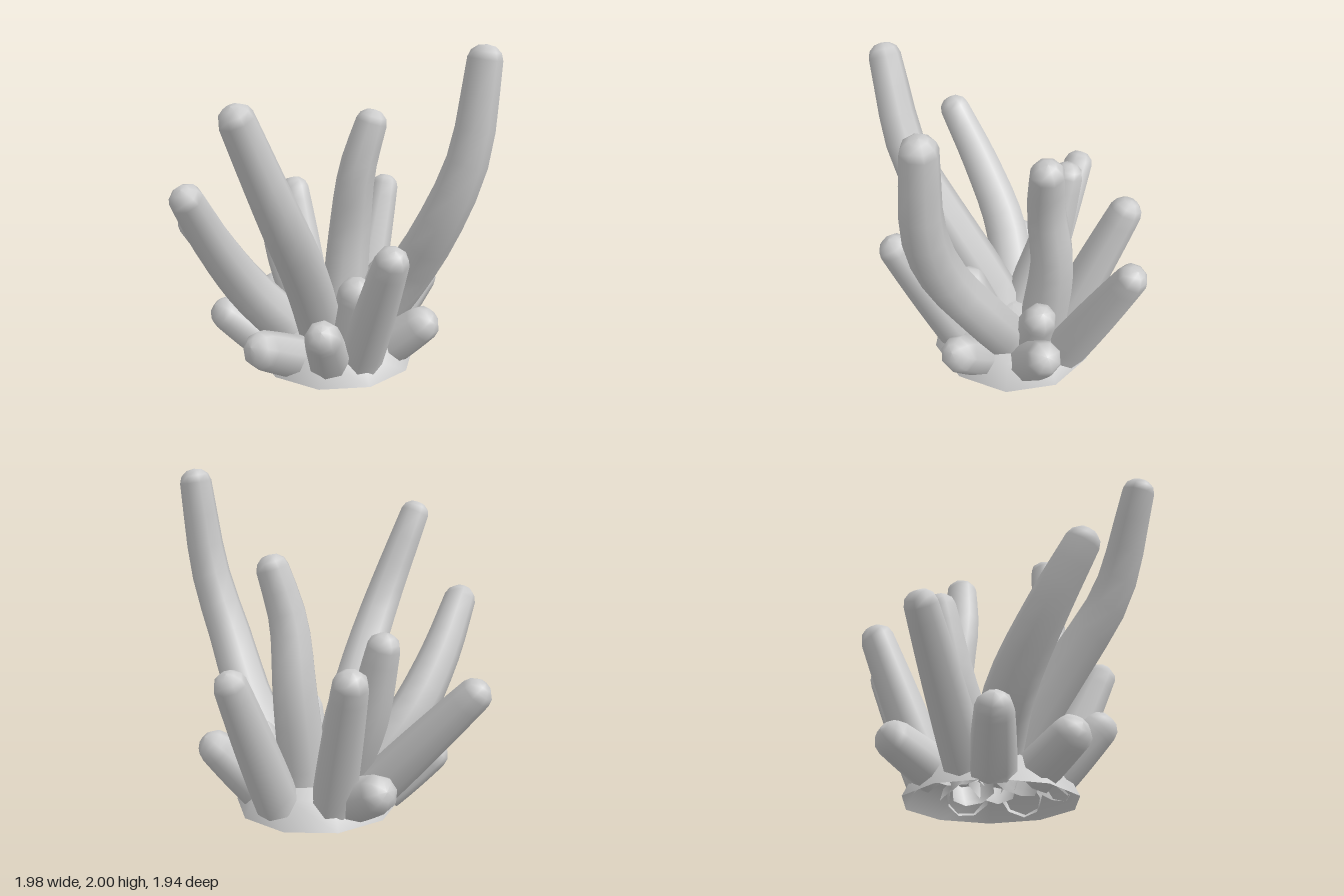
import * as THREE from 'three';

const SIDES = 8;
const STEPS = 10;
const CENTRE = new THREE.Vector3(0.05, 0, -0.1);
const v = (x, y, z) => new THREE.Vector3(x, y, z);

// Tapered tentacle along a smooth path, open at the root, blunt rounded at the tip
function tentacleGeometry(points, rootRadius, tipRadius) {
  const curve = new THREE.CatmullRomCurve3(points);
  const frames = curve.computeFrenetFrames(STEPS, false);
  const pos = [], index = [];

  const addRing = (centre, radius, k) => {
    for (let j = 0; j < SIDES; j++) {
      const a = (j / SIDES) * Math.PI * 2;
      const p = centre.clone()
        .addScaledVector(frames.normals[k], Math.cos(a) * radius)
        .addScaledVector(frames.binormals[k], Math.sin(a) * radius);
      pos.push(p.x, p.y, p.z);
    }
  };

  // most of the taper happens towards the tip
  for (let i = 0; i <= STEPS; i++) {
    const t = i / STEPS;
    addRing(curve.getPointAt(t), THREE.MathUtils.lerp(rootRadius, tipRadius, t ** 1.6), i);
  }
  // cap rings: distance past the end and ring radius, both in tip radii
  for (const [d, s] of [[0.42, 0.85], [0.72, 0.48], [0.8, 0]]) {
    const centre = curve.getPointAt(1).addScaledVector(frames.tangents[STEPS], d * tipRadius);
    addRing(centre, s * tipRadius, STEPS);
  }
  // skin between neighbouring rings
  for (let lo = 0; lo < (STEPS + 3) * SIDES; lo += SIDES) {
    const hi = lo + SIDES;
    for (let j = 0; j < SIDES; j++) {
      const n = (j + 1) % SIDES;
      index.push(lo + j, lo + n, hi + n, lo + j, hi + n, hi + j);
    }
  }
  const geo = new THREE.BufferGeometry();
  geo.setAttribute('position', new THREE.Float32BufferAttribute(pos, 3));
  geo.setIndex(index);
  geo.computeVertexNormals();
  return geo;
}

export function createModel() {
  const group = new THREE.Group();
  const material = new THREE.MeshStandardMaterial({ color: 0xcccccc, side: THREE.DoubleSide });

  const add = (name, geometry) => {
    const mesh = new THREE.Mesh(geometry, material);
    mesh.name = name;
    group.add(mesh);
    return mesh;
  };

  // Long tentacle bending through the given points
  const bent = (name, ...path) => add(name, tentacleGeometry(path, 0.148, 0.098));

  // Straight tentacle leaning outwards from the dome centre to its tip
  const straight = (name, tip, tipRadius, rootDistance = 0.35, rootHeight = 0.14) => {
    const root = tip.clone().sub(CENTRE).setY(0).setLength(rootDistance).add(CENTRE).setY(rootHeight);
    add(name, tentacleGeometry([root, tip], 0.13, tipRadius));
  };

  // Low dome the tentacles grow from, open underneath
  const profile = [[0.51, 0.03], [0.43, 0.19], [0.28, 0.27], [0, 0.3]].map(p => new THREE.Vector2(...p));
  const base = add('base', new THREE.LatheGeometry(profile, 10));
  base.position.copy(CENTRE);
  base.scale.x = 0.96;

  // Long bent tentacles
  bent('tallLeftTentacle', v(0.22, 0.18, -0.15), v(0.48, 0.58, -0.09), v(0.68, 0.97, 0.03),
    v(0.83, 1.38, 0.06), v(0.89, 1.92, 0.02));
  bent('tallFrontTentacle', v(-0.02, 0.2, 0), v(-0.03, 0.5, 0.2), v(-0.05, 0.8, 0.42),
    v(-0.1, 1.15, 0.67), v(-0.25, 1.7, 0.88));
  bent('tallBackTentacle', v(0.05, 0.2, -0.3), v(0.08, 0.75, -0.36), v(0.13, 1.17, -0.33),
    v(0.21, 1.47, -0.36));
  bent('frontRightTentacle', v(-0.2, 0.2, 0), v(-0.43, 0.52, 0.17), v(-0.56, 0.87, 0.4),
    v(-0.63, 1.2, 0.62));
  bent('innerRightTentacle', v(-0.1, 0.2, -0.12), v(-0.29, 0.6, -0.2), v(-0.41, 1.05, -0.26));

  // Medium straight tentacles
  straight('outerRightTentacle', v(-0.91, 0.81, -0.16), 0.096);
  straight('frontLeftTentacle', v(0.47, 0.88, 0.47), 0.098);
  straight('backTentacle', v(0.22, 0.93, -0.88), 0.092, 0.4);
  straight('backRightTentacle', v(-0.36, 0.93, -0.66), 0.1);

  // Short tentacles around the rim
  straight('smallLeftTentacle', v(0.6, 0.33, 0.01), 0.112);
  straight('smallRightTentacle', v(-0.6, 0.34, 0.13), 0.105, 0.4, 0.1);
  straight('smallFrontTentacle', v(0.1, 0.42, 0.53), 0.104);
  straight('smallFrontRightTentacle', v(-0.28, 0.27, 0.45), 0.115, 0.35, 0.12);
  straight('smallBackLeftTentacle', v(0.53, 0.44, -0.5), 0.103);
  straight('smallBackRightTentacle', v(-0.46, 0.28, -0.48), 0.11);

  // Short tentacles near the middle
  straight('innerLeftTentacle', v(0.22, 0.54, 0.13), 0.112, 0.15);
  straight('innerBackLeftTentacle', v(0.3, 0.5, -0.38), 0.1, 0.2);

  return group;
}
